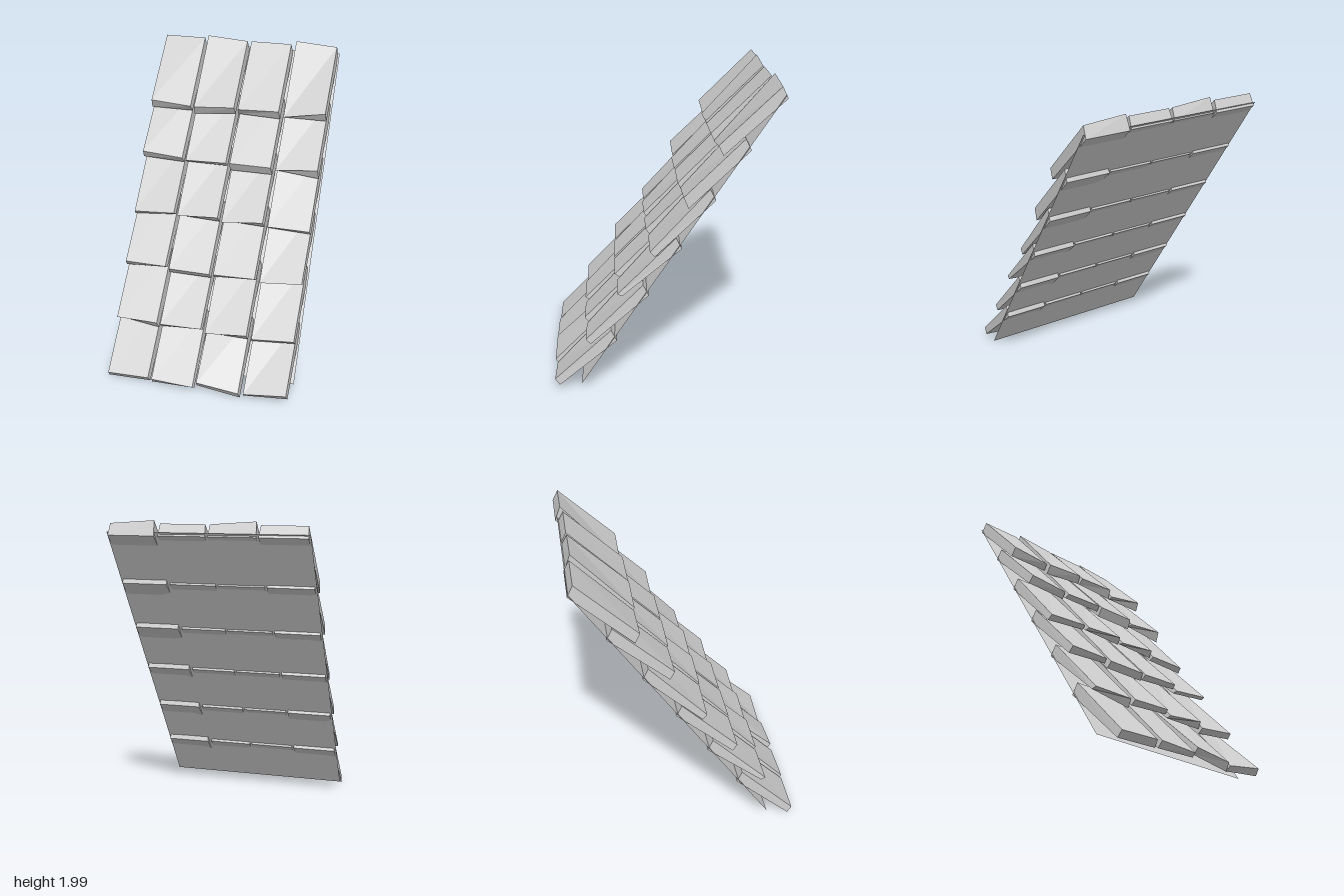
import * as THREE from 'three';

// Lower edge of each tile in hundredths of a unit, one line per course from the eave up:
// [front edge height at -x, at +x, drop to the back edge at -x, at +x]
const COURSES = [
  [[0, 1, 4, 4], [1, 0, 4, 2], [4, 1, 4, 5], [0, 4, 3, 4]],
  [[0, 0, 1, 5], [0, 1, 3, 2], [-2, 1, 1, 4], [-2, 1, 3, 3]],
  [[1, 1, 4, 2], [0, 0, 4, 4], [0, 1, 3, 2], [-2, 1, 1, 1]],
  [[-2, 0, 3, 2], [-1, 1, 1, 4], [-2, 1, 0, 4], [-2, -2, 2, 3]],
  [[3, 1, 5, 4], [0, 1, 2, 3], [1, 1, 6, 6], [-1, 2, 1, 7]],
  [[2, 0, 6, 4], [0, 2, 6, 5], [1, 2, 4, 6], [-2, 3, 1, 6]],
];
const COLUMN_X = [-0.463, -0.155, 0.152, 0.463];
const COLUMN_Z = [0.7, 0.708, 0.705, 0.69];

// Slanted, slightly crooked slab: a unit box with its eight corners moved
function tileGeometry(row, col, edge) {
  const geometry = new THREE.BoxGeometry(1, 1, 1);
  const p = geometry.attributes.position;
  const baseY = 0.05 + 0.31 * row;
  const baseZ = COLUMN_Z[col] - 0.204 * row;
  for (let i = 0; i < p.count; i++) {
    const side = p.getX(i) > 0 ? 1 : 0;
    const top = p.getY(i) > 0;
    const front = p.getZ(i) > 0;
    const x = COLUMN_X[col] + (side ? 1 : -1) * (front ? 0.14 : 0.146);
    let y, z;
    if (top) {
      const lift = col % 2 === 1 && side === 0 ? 0.02 : 0;
      y = baseY + (front ? 0.38 + lift : 0.31);
      z = baseZ - (front ? 0.365 : 0.4);
    } else {
      y = baseY + (edge[side] - (front ? 0 : edge[2 + side])) / 100;
      z = baseZ - (front ? 0 : 0.03);
    }
    p.setXYZ(i, x, y, z);
  }
  geometry.computeVertexNormals();
  return geometry;
}

export function createModel() {
  const model = new THREE.Group();
  model.name = 'tiledRoof';
  const tileMaterial = new THREE.MeshStandardMaterial({ color: 0xcccccc, flatShading: true });

  // Overlapping courses of tiles
  COURSES.forEach((course, row) => {
    const group = new THREE.Group();
    group.name = `tileCourse${row + 1}`;
    course.forEach((edge, col) => {
      const tile = new THREE.Mesh(tileGeometry(row, col, edge), tileMaterial);
      tile.name = `tile${col + 1}`;
      group.add(tile);
    });
    model.add(group);
  });

  // Thin sheet carrying the tiles, from eave to ridge
  const eave = { y: 0.065, z: 0.517 };
  const ridge = { y: 1.93, z: -0.717 };
  const rise = ridge.y - eave.y;
  const run = eave.z - ridge.z;
  const backing = new THREE.Mesh(
    new THREE.PlaneGeometry(1.24, Math.hypot(rise, run)),
    new THREE.MeshStandardMaterial({ color: 0xcccccc, flatShading: true, side: THREE.DoubleSide })
  );
  backing.name = 'backingSheet';
  backing.position.set(0, (eave.y + ridge.y) / 2, (eave.z + ridge.z) / 2);
  backing.rotation.x = -Math.atan2(run, rise);
  model.add(backing);

  return model;
}
